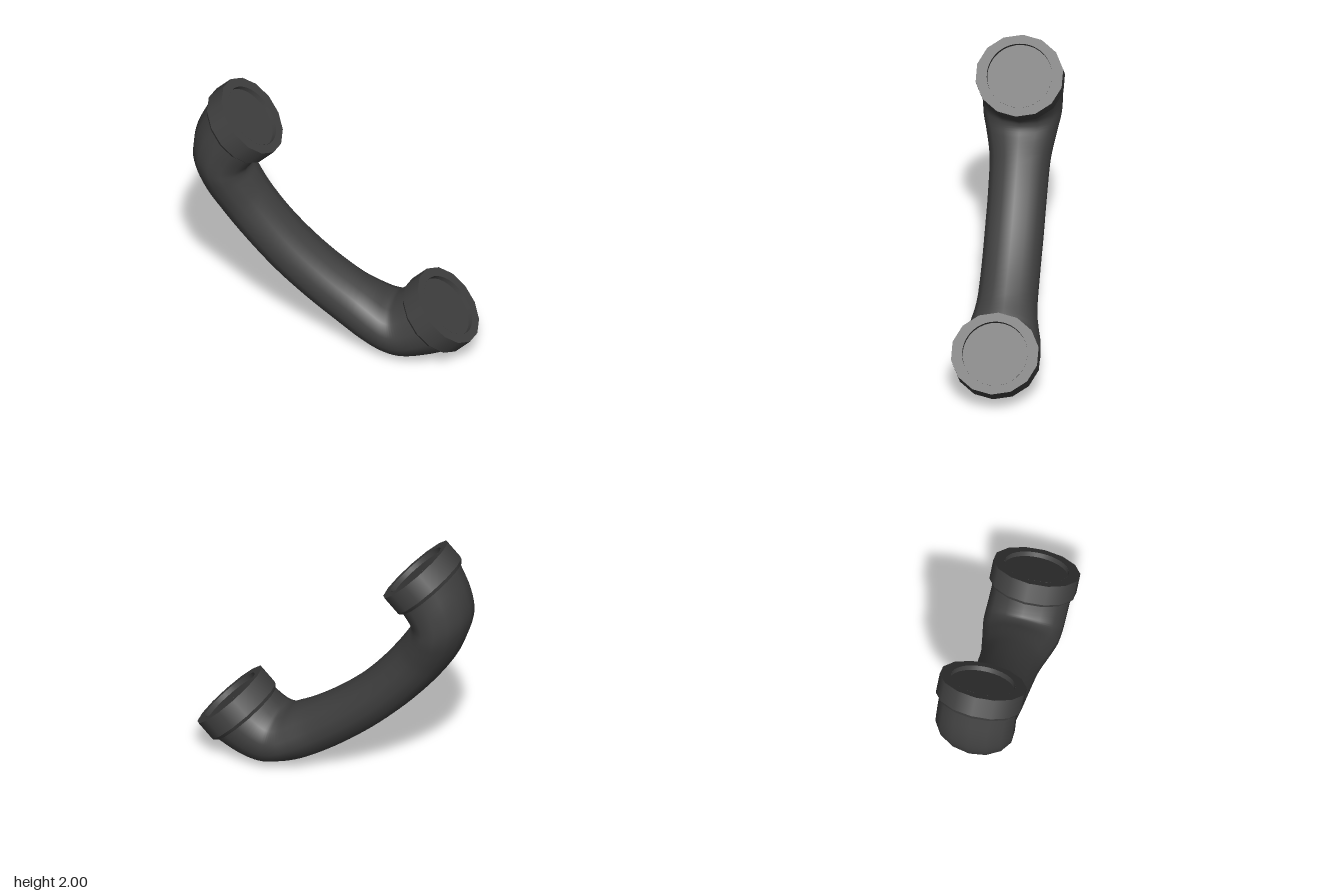
import * as THREE from 'three';

const SIDES = 14;

// Curved grip: elliptical sections swept between an outer and an inner edge line.
// Each row: outer u, outer v, inner u, inner v, half depth.
function gripGeometry() {
  const half = [
    [-1.245, -0.01, -0.715, -0.01, 0.277],
    [-1.165, -0.21, -0.712, -0.085, 0.277],
    [-1.066, -0.348, -0.705, -0.128, 0.277],
    [-0.95, -0.43, -0.68, -0.15, 0.271],
    [-0.8, -0.497, -0.61, -0.168, 0.246],
    [-0.575, -0.552, -0.48, -0.198, 0.213],
    [-0.3, -0.588, -0.25, -0.234, 0.205],
  ];
  const mirrored = half.map(([a, b, c, d, e]) => [-a, b, -c, d, e]).reverse();
  const rows = [...half, [0, -0.602, 0, -0.248, 0.205], ...mirrored];
  const outer = new THREE.CatmullRomCurve3(rows.map((r) => new THREE.Vector3(r[0], r[1], r[4])));
  const inner = new THREE.CatmullRomCurve3(rows.map((r) => new THREE.Vector3(r[2], r[3], r[4])));

  const steps = 56, positions = [], index = [];
  for (let s = 0; s <= steps; s++) {
    const o = outer.getPoint(s / steps), i = inner.getPoint(s / steps);
    for (let k = 0; k < SIDES; k++) {
      const a = (k / SIDES) * Math.PI * 2;
      const t = (1 + Math.cos(a)) / 2;
      positions.push(i.x + (o.x - i.x) * t, i.y + (o.y - i.y) * t, Math.sin(a) * o.z);
      if (s === steps) continue;
      const p = s * SIDES + k, q = s * SIDES + ((k + 1) % SIDES);
      index.push(p, p + SIDES, q, q, p + SIDES, q + SIDES);
    }
  }
  const geometry = new THREE.BufferGeometry();
  geometry.setAttribute('position', new THREE.Float32BufferAttribute(positions, 3));
  geometry.setIndex(index);
  geometry.computeVertexNormals();
  return geometry;
}

export function createModel() {
  const darkGrey = new THREE.MeshStandardMaterial({ color: 0x404040, side: THREE.DoubleSide });
  darkGrey.name = 'darkGrey';

  const add = (parent, name, geometry, y = 0) => {
    const mesh = new THREE.Mesh(geometry, darkGrey);
    mesh.name = name;
    mesh.position.y = y;
    parent.add(mesh);
    return mesh;
  };

  // Round cap with a chamfered base and a shallow dished face
  function makeCap(name, x) {
    const cap = new THREE.Group();
    cap.name = name;
    cap.position.x = x;
    const rx = 0.289, rz = 0.305, height = 0.145, dishRadius = 0.225, dishDepth = 0.035;
    const wall = (top, bottom, h, sides) =>
      new THREE.CylinderGeometry(top, bottom, h, sides, 1, true, Math.PI / 2);

    add(cap, 'capSide', wall(1, 1, height, SIDES).scale(rx, 1, rz), height / 2);
    add(cap, 'capChamfer', wall(1, 0.92, 0.026, SIDES).scale(rx, 1, rz), -0.013);

    const outline = [];
    for (let k = 0; k < SIDES; k++) {
      const a = (k / SIDES) * Math.PI * 2;
      outline.push(new THREE.Vector2(Math.cos(a) * rx, Math.sin(a) * rz));
    }
    const rim = new THREE.Shape(outline);
    rim.holes.push(new THREE.Path().absarc(0, 0, dishRadius, 0, Math.PI * 2, true));
    add(cap, 'capRim', new THREE.ShapeGeometry(rim, 32).rotateX(-Math.PI / 2), height);

    add(cap, 'dishWall', wall(dishRadius, dishRadius, dishDepth, 32), height - dishDepth / 2);
    add(cap, 'dishFloor', new THREE.CircleGeometry(dishRadius, 32).rotateX(-Math.PI / 2), height - dishDepth);
    return cap;
  }

  // Built level, then tilted so it slopes down towards +x
  const handset = new THREE.Group();
  handset.name = 'handset';
  handset.position.y = 1;
  handset.rotation.z = -Math.PI / 4;
  add(handset, 'grip', gripGeometry());
  handset.add(makeCap('earpiece', -0.98), makeCap('mouthpiece', 0.98));

  const model = new THREE.Group();
  model.name = 'telephoneHandset';
  model.add(handset);
  return model;
}
